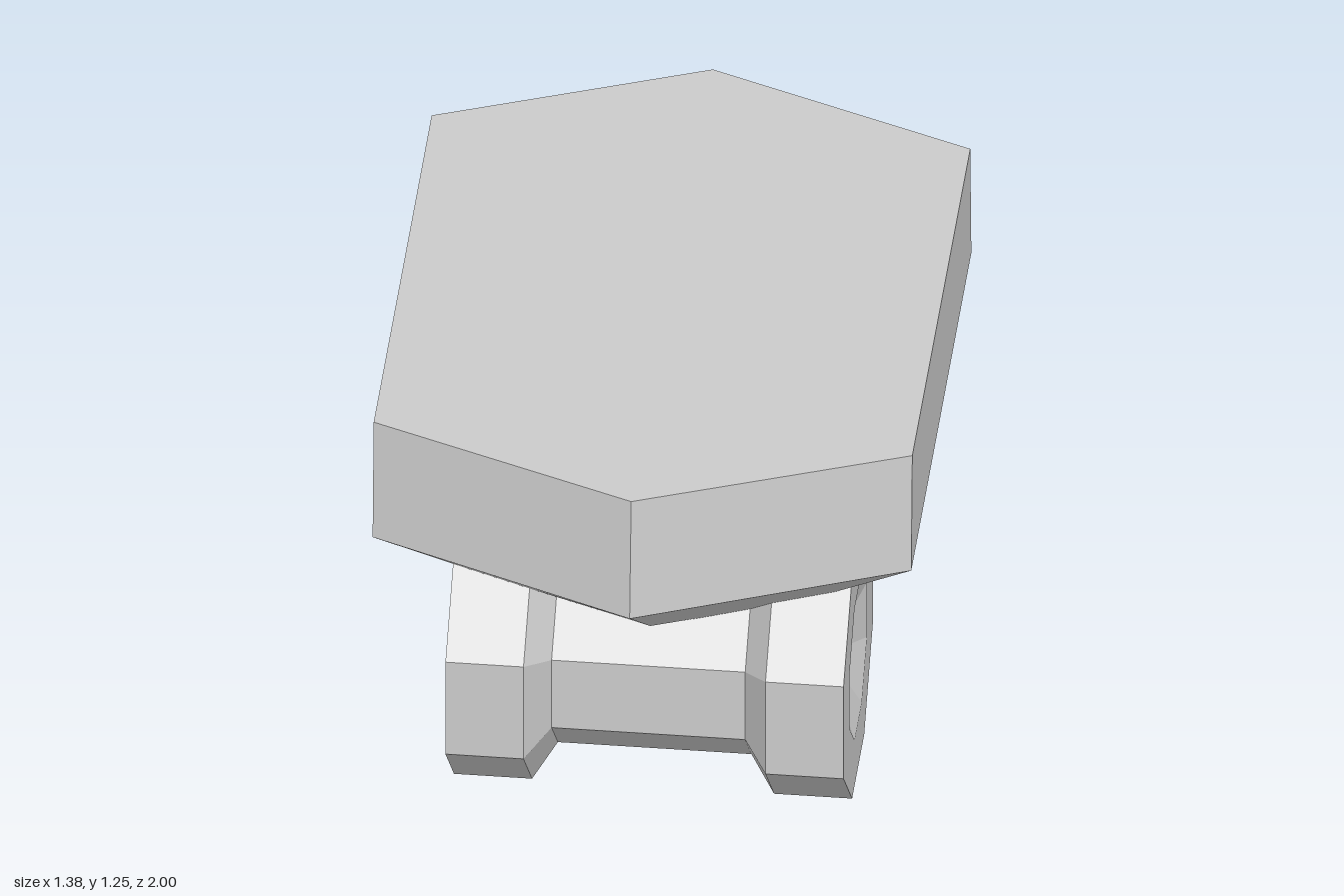
import * as THREE from 'three';

// Eight-point ring: pointed front and back, straight or bulged sides
function ring(y, tipZ, cornerX, cornerZ, sideX) {
  return [
    [0, tipZ], [cornerX, cornerZ], [sideX, 0], [cornerX, -cornerZ],
    [0, -tipZ], [-cornerX, -cornerZ], [-sideX, 0], [-cornerX, cornerZ],
  ].map(([x, z]) => new THREE.Vector3(x, y, z));
}

// Faceted solid through rings listed from bottom to top, one normal per panel
function loft(rings) {
  const positions = [], normals = [];
  const triangle = (a, b, c, n) => [a, b, c].forEach((p) => {
    positions.push(p.x, p.y, p.z);
    normals.push(n.x, n.y, n.z);
  });
  const count = rings[0].length;
  for (let r = 0; r < rings.length - 1; r++) {
    for (let i = 0; i < count; i++) {
      const j = (i + 1) % count;
      const a = rings[r][i], b = rings[r][j], c = rings[r + 1][j], d = rings[r + 1][i];
      const n = c.clone().sub(a).cross(d.clone().sub(b)).normalize();
      triangle(a, b, c, n);
      triangle(a, c, d, n);
    }
  }
  // Flat caps
  const bottom = rings[0], top = rings[rings.length - 1];
  const up = new THREE.Vector3(0, 1, 0), down = new THREE.Vector3(0, -1, 0);
  for (let i = 1; i < count - 1; i++) {
    triangle(top[0], top[i], top[i + 1], up);
    triangle(bottom[0], bottom[i + 1], bottom[i], down);
  }
  const geometry = new THREE.BufferGeometry();
  geometry.setAttribute('position', new THREE.Float32BufferAttribute(positions, 3));
  geometry.setAttribute('normal', new THREE.Float32BufferAttribute(normals, 3));
  return geometry;
}

export function createModel() {
  const model = new THREE.Group();
  model.name = 'hullOnRoller';

  // Long block with a tapered underside
  const hull = new THREE.Mesh(
    loft([
      ring(0.545, 0.515, 0.37, 0.365, 0.51),
      ring(0.905, 1.0, 0.69, 0.71, 0.69),
      ring(1.245, 0.965, 0.69, 0.685, 0.69),
    ]),
    new THREE.MeshStandardMaterial({ color: 0xcccccc }),
  );
  hull.name = 'hull';
  model.add(hull);

  // Octagonal roller with wide ends and dished end faces: [flat radius, x]
  const half = [[0, 0.43], [0.205, 0.51], [0.345, 0.51], [0.345, 0.31], [0.253, 0.248]];
  const profile = [
    ...half.map(([r, x]) => [r, -x]),
    ...half.slice().reverse(),
  ].map(([r, x]) => new THREE.Vector2(r / Math.cos(Math.PI / 8), x));
  const rollerGeometry = new THREE.LatheGeometry(profile, 8, Math.PI / 8);
  rollerGeometry.rotateZ(-Math.PI / 2);
  const roller = new THREE.Mesh(
    rollerGeometry,
    new THREE.MeshStandardMaterial({ color: 0xcccccc, flatShading: true }),
  );
  roller.name = 'roller';
  roller.position.set(0, 0.345, 0.305);
  model.add(roller);

  return model;
}
